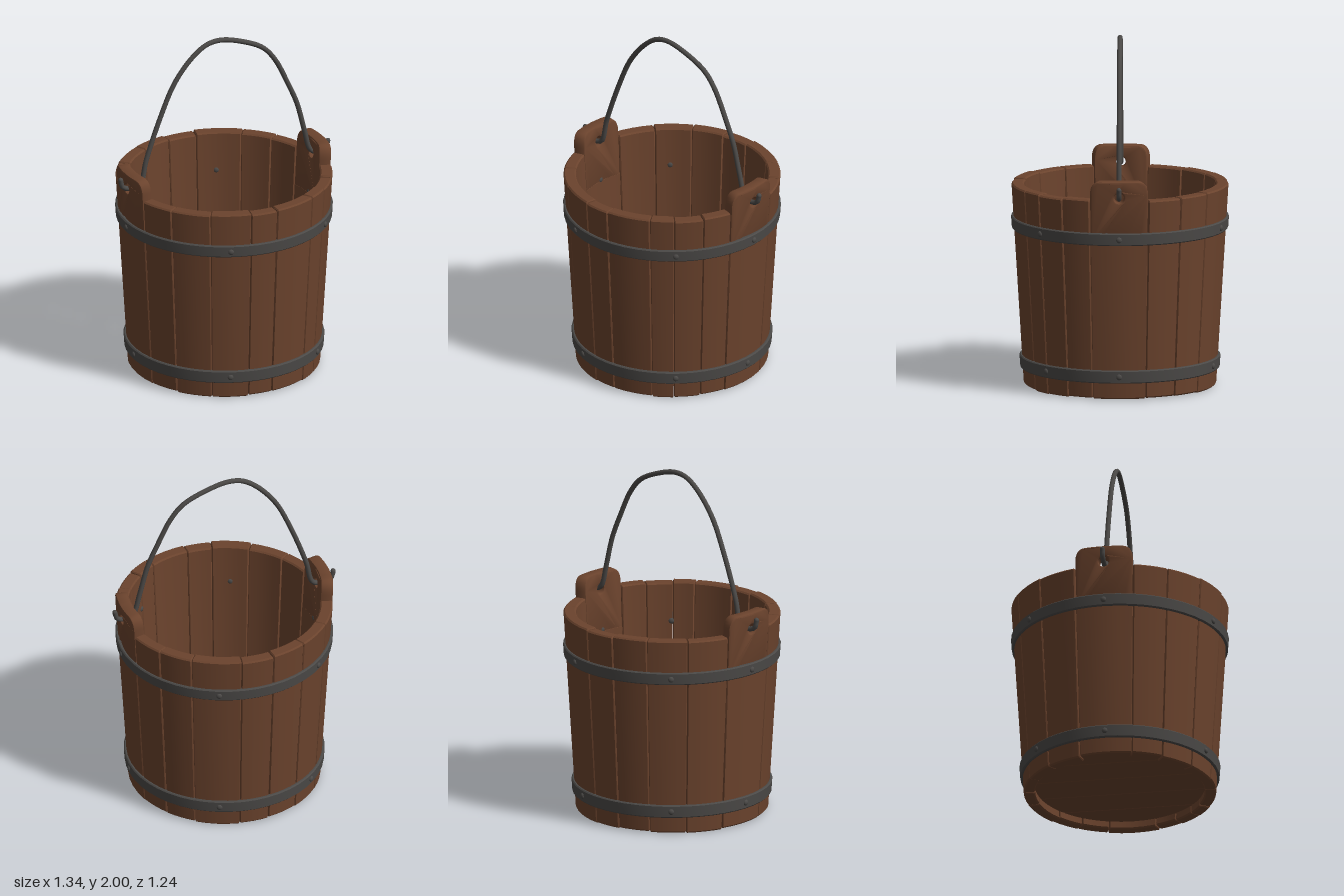
import * as THREE from 'three';
import { toCreasedNormals } from 'three/addons/utils/BufferGeometryUtils.js';

const wood = new THREE.MeshStandardMaterial({ color: 0x6b432d });
wood.name = 'wood';
const iron = new THREE.MeshStandardMaterial({ color: 0x4b4947 });
iron.name = 'iron';

const rad = THREE.MathUtils.degToRad;
const outerR = y => 0.547 + 0.06 * y;
const innerR = y => 0.481 + 0.056 * y;

function add(parent, name, geometry, material) {
  const mesh = new THREE.Mesh(geometry, material);
  mesh.name = name;
  parent.add(mesh);
  return mesh;
}

// Curved, tapered board with bevelled edges, swept between two angles
function staveGeometry(a0, a1, y0, y1) {
  const bevel = 0.008, steps = 4;
  const section = inset => {
    const b = bevel, lo = y0 + inset, hi = y1 - inset;
    return [
      [innerR(lo) + inset + b, lo], [outerR(lo) - inset - b, lo],
      [outerR(lo) - inset, lo + b], [outerR(hi) - inset, hi - b],
      [outerR(hi) - inset - b, hi], [innerR(hi) + inset + b, hi],
      [innerR(hi) + inset, hi - b], [innerR(lo) + inset, lo + b],
    ];
  };
  const edge = bevel * 0.7 / 0.6;
  const rings = [[a0, 0.006]];
  for (let i = 0; i <= steps; i++) {
    rings.push([THREE.MathUtils.lerp(a0 + edge, a1 - edge, i / steps), 0]);
  }
  rings.push([a1, 0.006]);

  const pos = [], index = [], n = 8;
  for (const [a, inset] of rings) {
    for (const [r, y] of section(inset)) pos.push(r * Math.cos(a), y, r * Math.sin(a));
  }
  for (let i = 0; i < rings.length - 1; i++) {
    for (let j = 0; j < n; j++) {
      const a = i * n + j, b = i * n + (j + 1) % n;
      index.push(a, b, b + n, a, b + n, a + n);
    }
  }
  const last = (rings.length - 1) * n;
  for (let j = 1; j < n - 1; j++) {
    index.push(0, j + 1, j, last, last + j, last + j + 1);
  }
  const g = new THREE.BufferGeometry();
  g.setAttribute('position', new THREE.Float32BufferAttribute(pos, 3));
  g.setIndex(index);
  return toCreasedNormals(g, 0.5);
}

// Raised top of a side stave with a hole, bent around the bucket
function earGeometry() {
  const b = 0.01, w = 0.165 - b, y0 = 0.93, top = 1.27 - b, steps = 8;
  const shape = new THREE.Shape();
  shape.moveTo(-w, y0);
  for (let i = 1; i <= steps; i++) shape.lineTo(-w + 2 * w * i / steps, y0);
  shape.lineTo(w, 1.19);
  shape.quadraticCurveTo(w, top, w - 0.05, top);
  for (let i = 1; i <= steps; i++) shape.lineTo((w - 0.05) * (1 - 2 * i / steps), top);
  shape.quadraticCurveTo(-w, top, -w, 1.19);
  const hole = new THREE.Path();
  hole.absarc(0, 1.175, 0.03 + b, 0, Math.PI * 2, true);
  shape.holes.push(hole);
  const depth = 0.07;
  const g = new THREE.ExtrudeGeometry(shape, {
    depth: depth - 2 * b, bevelSize: b, bevelThickness: b, bevelSegments: 2, curveSegments: 8,
  });
  const p = g.attributes.position;
  for (let i = 0; i < p.count; i++) {
    const y = p.getY(i), a = -p.getX(i) / 0.6;
    const r = outerR(y) - depth + b + p.getZ(i);
    p.setXYZ(i, r * Math.cos(a), y, r * Math.sin(a));
  }
  return toCreasedNormals(g, 0.6);
}

// Flat ring of iron following the taper
function hoopGeometry(y0, y1, inside, outside) {
  const b = 0.006;
  const pts = [
    [inside(y0), y0], [outside(y0) - b, y0], [outside(y0), y0 + b],
    [outside(y1), y1 - b], [outside(y1) - b, y1], [inside(y1), y1], [inside(y0), y0],
  ].map(([x, y]) => new THREE.Vector2(x, y));
  return toCreasedNormals(new THREE.LatheGeometry(pts, 48), 0.5);
}

// Floor board: strip of a disc between two x positions
function floorGeometry(x0, x1, radius) {
  const b = 0.004, steps = 8, shape = new THREE.Shape();
  const lo = x0 + b, hi = x1 - b;
  const half = x => Math.sqrt(Math.max(0, radius * radius - x * x));
  shape.moveTo(lo, -half(lo));
  for (let i = 1; i <= steps; i++) {
    const x = THREE.MathUtils.lerp(lo, hi, i / steps);
    shape.lineTo(x, -half(x));
  }
  for (let i = steps; i >= 0; i--) {
    const x = THREE.MathUtils.lerp(lo, hi, i / steps);
    shape.lineTo(x, half(x));
  }
  const g = new THREE.ExtrudeGeometry(shape, {
    depth: 0.042, bevelSize: b, bevelThickness: b, bevelSegments: 1,
  });
  return g.rotateX(-Math.PI / 2).translate(0, 0.054, 0);
}

export function createModel() {
  const model = new THREE.Group();
  model.name = 'bucket';

  // Staves of uneven width around the wall
  const staves = new THREE.Group();
  staves.name = 'staves';
  model.add(staves);
  const joints = [-16, 16, 32, 48, 61, 86, 101, 123, 145, 164, 196, 219, 241, 261, 279, 306, 325, 344];
  const gap = 0.002;
  for (let i = 0; i < joints.length - 1; i++) {
    const isSide = joints[i] === -16 || joints[i] === 164;
    const top = isSide ? 0.935 : 1.16 + 0.004 * Math.sin(i * 2.3);
    const bottom = 0.004 + 0.004 * Math.sin(i * 1.7);
    add(staves, 'stave', staveGeometry(rad(joints[i]) + gap, rad(joints[i + 1]) - gap, bottom, top), wood);
  }

  // Pierced ears on both sides
  const ear = earGeometry();
  add(model, 'leftEar', ear, wood);
  add(model, 'rightEar', ear, wood).rotation.y = Math.PI;

  // Floor boards
  const cuts = [-0.495, -0.312, -0.1, 0.11, 0.312, 0.495];
  for (let i = 0; i < cuts.length - 1; i++) {
    add(model, 'floorBoard', floorGeometry(cuts[i], cuts[i + 1], 0.495), wood);
  }

  // Iron hoops and the thin ring around the floor
  const hoopOut = y => outerR(y) + 0.014;
  const hoopIn = y => outerR(y) - 0.012;
  add(model, 'upperHoop', hoopGeometry(0.9, 0.972, hoopIn, hoopOut), iron);
  add(model, 'lowerHoop', hoopGeometry(0.097, 0.172, hoopIn, hoopOut), iron);
  add(model, 'floorRing', hoopGeometry(0.095, 0.13, () => 0.48, () => 0.5), iron);

  // Rivets through hoop and wall, with domed heads on both faces
  const head = new THREE.SphereGeometry(0.017, 10, 8);
  for (const y of [0.935, 0.135]) {
    for (const deg of [0, 47, 112, 180, 228, 291]) {
      const a = rad(deg);
      for (const [name, r] of [['rivet', hoopOut(y)], ['rivetEnd', innerR(y) + 0.004]]) {
        const m = add(model, name, head, iron);
        m.position.set(r * Math.cos(a), y, r * Math.sin(a));
        m.rotation.y = -a;
        m.scale.x = 0.6;
      }
    }
  }

  // Bent wire handle hooked through the ears
  const path = new THREE.CatmullRomCurve3([
    [-0.652, 1.235], [-0.64, 1.19], [-0.59, 1.172], [-0.53, 1.185], [-0.49, 1.33],
    [-0.4, 1.58], [-0.31, 1.775], [-0.2, 1.91], [-0.11, 1.972], [-0.03, 1.985],
    [0.07, 1.965], [0.24, 1.89], [0.32, 1.8], [0.4, 1.64], [0.46, 1.5],
    [0.505, 1.33], [0.545, 1.195], [0.59, 1.172], [0.64, 1.185], [0.655, 1.23],
  ].map(([x, y]) => new THREE.Vector3(x, y, 0)));
  add(model, 'handle', new THREE.TubeGeometry(path, 110, 0.0145, 10), iron);
  for (const t of [0, 1]) {
    add(model, 'handleTip', new THREE.SphereGeometry(0.0145, 10, 8), iron).position.copy(path.getPoint(t));
  }

  return model;
}
